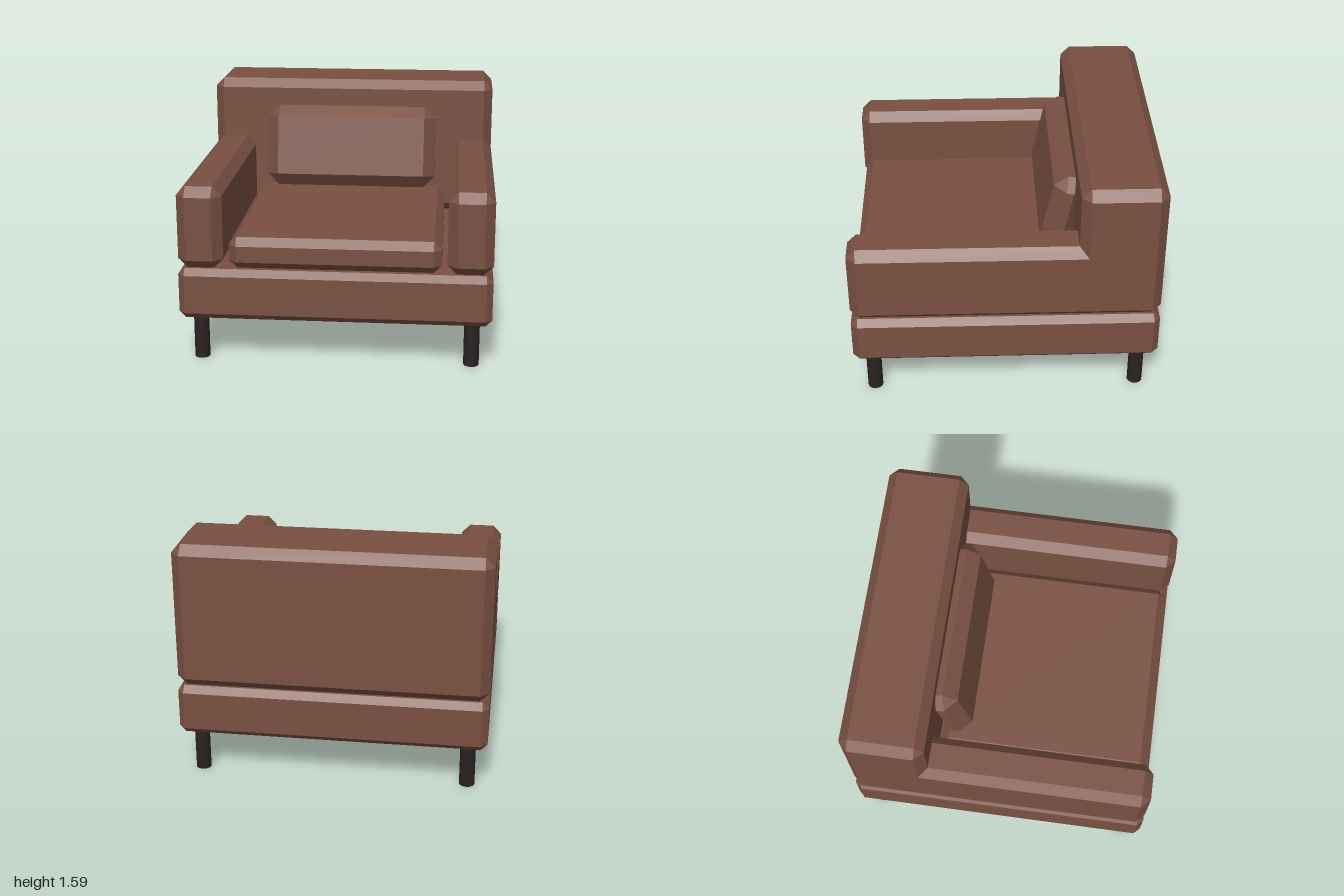
import * as THREE from 'three';
import { ConvexGeometry } from 'three/addons/geometries/ConvexGeometry.js';

// Box with flat bevels on every edge and triangular corners
function bevelBox(w, h, d, c) {
  const x = w / 2, y = h / 2, z = d / 2, points = [];
  for (const sx of [-1, 1]) for (const sy of [-1, 1]) for (const sz of [-1, 1]) {
    points.push(
      new THREE.Vector3(sx * x, sy * (y - c), sz * (z - c)),
      new THREE.Vector3(sx * (x - c), sy * y, sz * (z - c)),
      new THREE.Vector3(sx * (x - c), sy * (y - c), sz * z)
    );
  }
  return new ConvexGeometry(points);
}

export function createModel() {
  const model = new THREE.Group();
  model.name = 'armchair';

  const leather = new THREE.MeshStandardMaterial({ color: 0x7a5042 });
  leather.name = 'brown leather';
  const darkWood = new THREE.MeshStandardMaterial({ color: 0x2b2122 });
  darkWood.name = 'dark leg';

  function add(name, geometry, material, x, y, z) {
    const mesh = new THREE.Mesh(geometry, material);
    mesh.name = name;
    mesh.position.set(x, y, z);
    model.add(mesh);
    return mesh;
  }

  // Base, backrest and seat
  add('base', bevelBox(2, 0.335, 2, 0.042), leather, 0, 0.4625, 0);
  add('backrest', bevelBox(2, 0.955, 0.54, 0.06), leather, 0, 1.1075, -0.73);
  add('seatCushion', bevelBox(1.35, 0.205, 1.415, 0.05), leather, 0, 0.7325, 0.265);

  // Leaning back pillow
  const pillow = add('backPillow', bevelBox(1.2, 0.574, 0.21, 0.08), leather, 0, 1.125, -0.381);
  pillow.rotation.x = -0.207;

  // Armrests run back into the backrest
  const armGeometry = bevelBox(0.29, 0.535, 2, 0.06);
  for (const [side, s] of [['left', 1], ['right', -1]]) {
    add(side + 'Armrest', armGeometry, leather, s * 0.855, 0.8975, 0);
  }

  // Four round legs
  const legGeometry = new THREE.CylinderGeometry(0.05, 0.05, 0.31, 12);
  for (const [side, sx] of [['Left', 1], ['Right', -1]]) {
    for (const [end, sz] of [['front', 1], ['back', -1]]) {
      add(end + side + 'Leg', legGeometry, darkWood, sx * 0.875, 0.155, sz * 0.875);
    }
  }

  return model;
}
